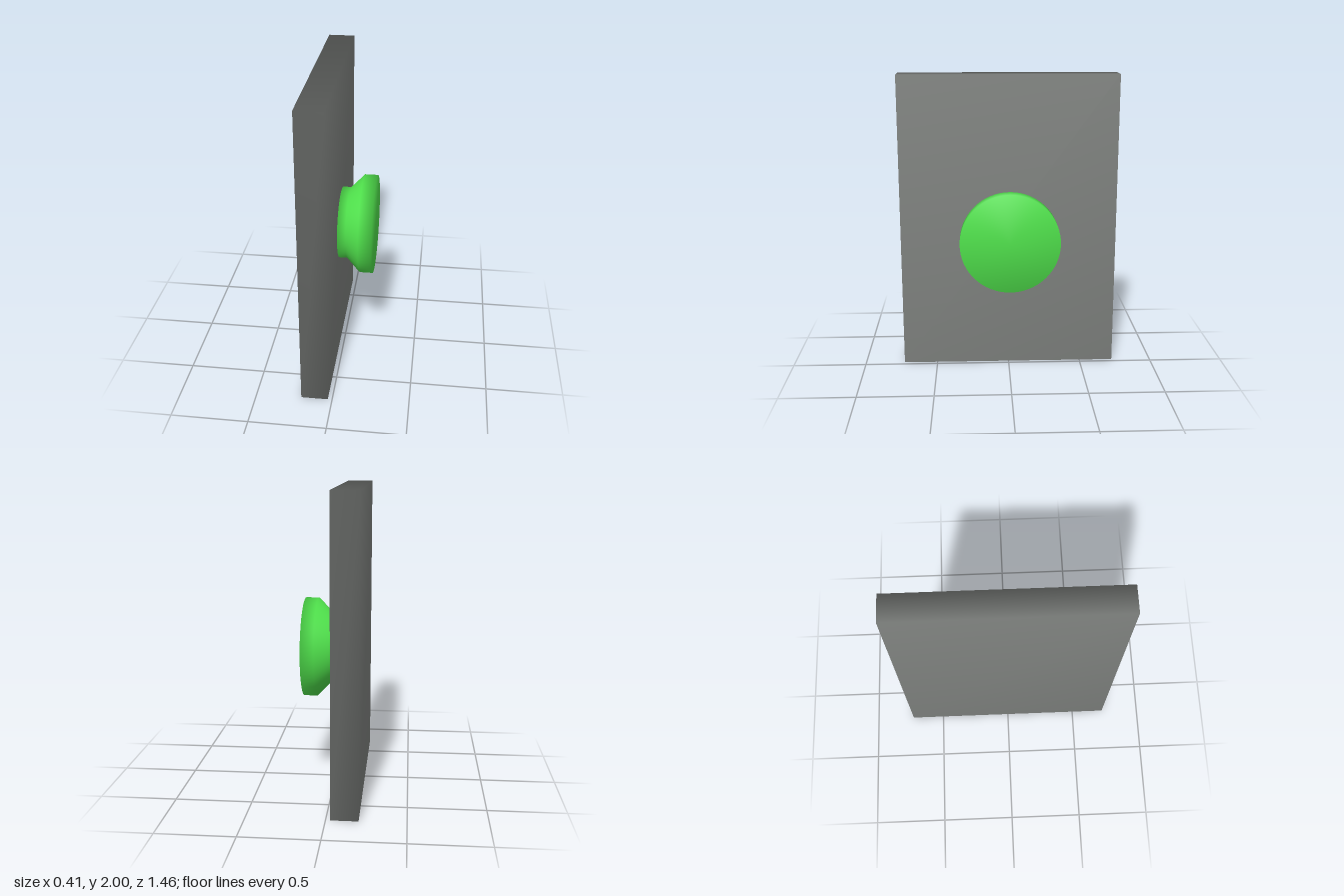
import * as THREE from 'three';
import { mergeVertices } from 'three/addons/utils/BufferGeometryUtils.js';

// Weld shared corners so normals blend smoothly over every edge
function weld(geometry) {
  geometry.deleteAttribute('uv');
  geometry.deleteAttribute('normal');
  const welded = mergeVertices(geometry, 1e-4);
  welded.computeVertexNormals();
  return welded;
}

function part(name, geometry, color) {
  const mesh = new THREE.Mesh(weld(geometry), new THREE.MeshStandardMaterial({ color }));
  mesh.name = name;
  return mesh;
}

export function createModel() {
  const model = new THREE.Group();
  model.name = 'wallButton';

  // Upright backing plate
  const plate = part('backPlate', new THREE.BoxGeometry(0.175, 2, 1.46), 0x7f827f);
  plate.position.set(-0.116, 1, 0);

  // Round button: narrow stem flaring to a wide flat head, turned about x
  const profile = [
    [0, 0], [0.24, 0], [0.24, 0.055], [0.331, 0.145], [0.331, 0.232], [0, 0.232],
  ].map(([r, h]) => new THREE.Vector2(r, h));
  const button = part('pushButton', new THREE.LatheGeometry(profile, 64).rotateZ(-Math.PI / 2), 0x50e24c);
  button.position.set(-0.0285, 0.923, -0.003);

  model.add(plate, button);
  return model;
}
